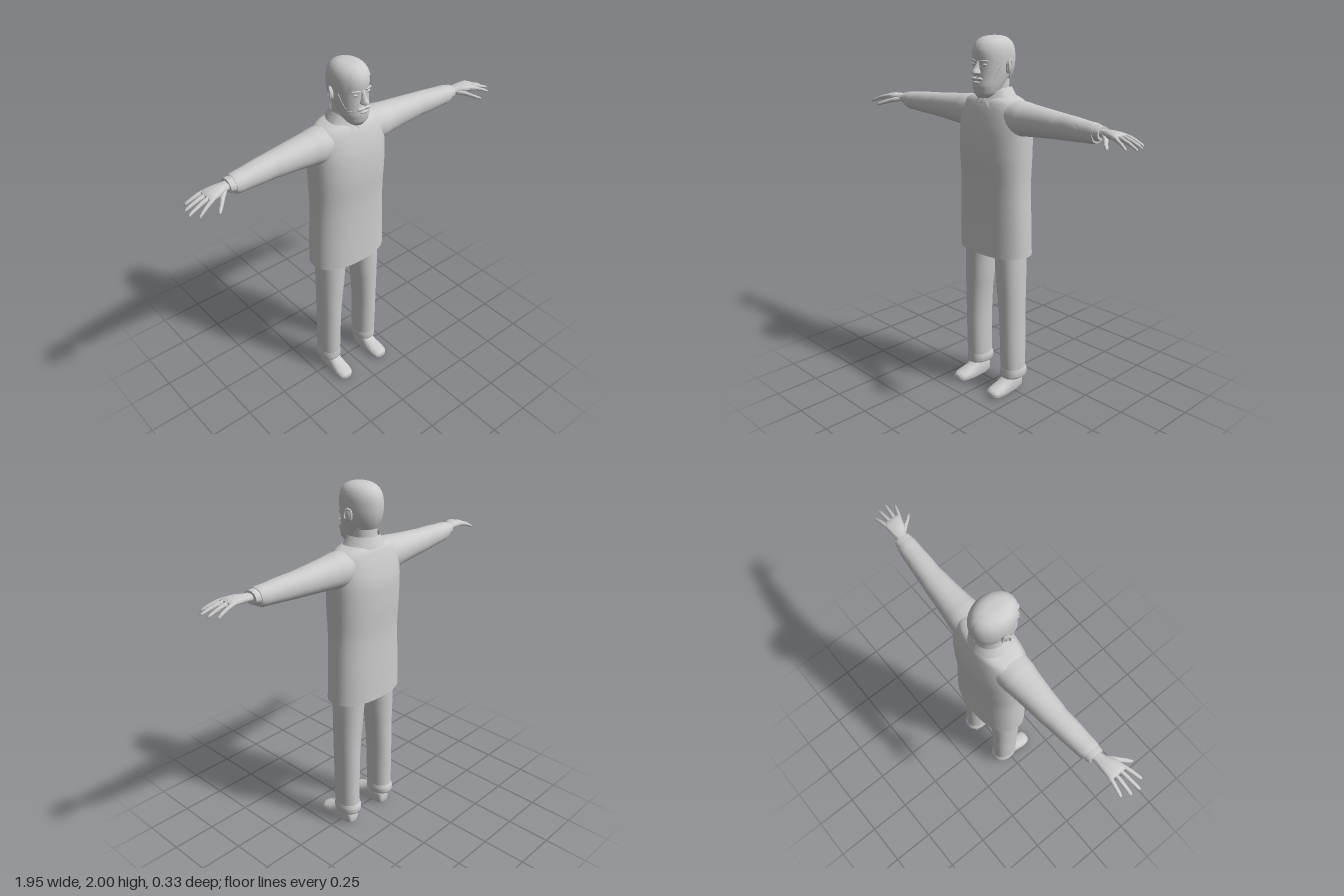
import * as THREE from 'three';
import { mergeVertices, toCreasedNormals } from 'three/addons/utils/BufferGeometryUtils.js';

const { clamp, lerp, smoothstep } = THREE.MathUtils;
const material = new THREE.MeshStandardMaterial({ color: 0xcccccc, side: THREE.DoubleSide });

// Surface from a rule f(u, v) -> [x, y, z]
function grid(f, nu, nv) {
  const pos = [], index = [];
  for (let j = 0; j <= nv; j++) for (let i = 0; i <= nu; i++) pos.push(...f(i / nu, j / nv));
  for (let j = 0; j < nv; j++) for (let i = 0; i < nu; i++) {
    const a = j * (nu + 1) + i, c = a + nu + 1;
    index.push(a, a + 1, c + 1, a, c + 1, c);
  }
  const g = new THREE.BufferGeometry();
  g.setAttribute('position', new THREE.Float32BufferAttribute(pos, 3));
  g.setIndex(index);
  return g;
}

// Smooth blend between cross-section rows, without overshoot
function blend(rows, t) {
  const i = Math.min(Math.floor(t), rows.length - 2), f = t - i;
  const [p0, p1, p2, p3] = [-1, 0, 1, 2].map(k => rows[clamp(i + k, 0, rows.length - 1)]);
  return p1.map((b, k) => {
    const a = p0[k], c = p2[k], d = p3[k];
    const y = b + 0.5 * f * (c - a + f * (2 * a - 5 * b + 4 * c - d + f * (3 * (b - c) + d - a)));
    return clamp(y, Math.min(b, c), Math.max(b, c));
  });
}

// Loft over rows [s, centreA, centreB, radiusA, radiusB]; map places (a, s, b)
const upright = (a, s, b) => [a, s, b];
const sideways = (a, s, b) => [s, b, a];
const forward = (a, s, b) => [b, Math.max(0, a), s];
const power = (c, n) => Math.sign(c) * Math.abs(c) ** (2 / n);
function loft(rows, map, { n = 2, sides = 32, steps = 4, start = true, end = true } = {}) {
  const rings = [], count = (rows.length - 1) * steps;
  for (let k = 0; k <= count; k++) rings.push(blend(rows, k / steps));
  const point = r => [r[0], r[1], r[2], 0, 0];
  if (start) rings.unshift(point(rings[0]));
  if (end) rings.push(point(rings[rings.length - 1]));
  return grid((u, v) => {
    const [s, ca, cb, ra, rb] = rings[Math.round(v * (rings.length - 1))];
    const t = u * Math.PI * 2;
    return map(ca + ra * power(Math.sin(t), n), s, cb + rb * power(Math.cos(t), n));
  }, sides, rings.length - 1);
}

function part(name, geometry, crease = 0.9) {
  let g = geometry.clone();
  g.deleteAttribute('normal');
  g.deleteAttribute('uv');
  g = mergeVertices(g, 1e-5);
  const kept = [], ix = g.index.array;
  for (let i = 0; i < ix.length; i += 3) {
    const [a, b, c] = [ix[i], ix[i + 1], ix[i + 2]];
    if (a !== b && b !== c && a !== c) kept.push(a, b, c);
  }
  g.setIndex(kept);
  const mesh = new THREE.Mesh(toCreasedNormals(g, crease), material);
  mesh.name = name;
  return mesh;
}

function mirrored(geometry) {
  const g = geometry.clone().scale(-1, 1, 1);
  g.index.array.reverse();
  return g;
}

function ball(x, y, z, sx, sy, sz) {
  return new THREE.SphereGeometry(1, 20, 14).scale(sx, sy, sz).translate(x, y, z);
}

// Head rows, also used for the beard
const headRows = [
  [1.688, 0, 0.065, 0.035, 0.032], [1.71, 0, 0.052, 0.06, 0.06], [1.75, 0, 0.035, 0.073, 0.083],
  [1.79, 0, 0.014, 0.081, 0.1], [1.83, 0, 0.002, 0.087, 0.11], [1.87, 0, 0, 0.089, 0.112],
  [1.91, 0, 0, 0.089, 0.115], [1.95, 0, 0, 0.08, 0.105], [1.98, 0, 0, 0.055, 0.07],
];
function headAt(y) {
  let i = 0;
  while (i < headRows.length - 2 && headRows[i + 1][0] < y) i++;
  const f = (y - headRows[i][0]) / (headRows[i + 1][0] - headRows[i][0]);
  return headRows[i].map((a, k) => lerp(a, headRows[i + 1][k], f));
}

// Hair cap with a hairline that drops from brow to nape
function hair(u, v) {
  const a = (u * 2 - 1) * Math.PI, b = Math.abs(a);
  const line = 1.935 - 0.075 * smoothstep(b, 0.65, 1.05) - 0.085 * smoothstep(b, 1.65, 2.2);
  const w = Math.max(0, (v * 25 - 1) / 24);
  const y = line + (2 - line) * Math.sin(w * Math.PI / 2);
  let k = y > 1.88 ? Math.max(0, 1 - ((y - 1.88) / 0.12) ** 2.8) ** (1 / 2.8)
    : 1 - 0.55 * ((1.88 - y) / 0.16) ** 2;
  if (v === 0) k *= 0.86;
  return [0.098 * k * Math.sin(a), y, -0.003 + 0.127 * k * Math.cos(a)];
}

// Beard shell over the jaw, rising to the sideburns
function beard(u, v) {
  const a = (u * 2 - 1) * 1.5, b = Math.abs(a);
  const top = 1.797 - 0.022 * smoothstep(b, 0.2, 0.6) + 0.09 * smoothstep(b, 0.95, 1.4);
  const low = 1.687 + 0.05 * smoothstep(b, 0.9, 1.5);
  const w = Math.min(1, v * 13 / 12);
  const [y, , cz, rx, rz] = headAt(lerp(low, top, w));
  const k = v === 1 ? 0.97 : 1.06;
  return [rx * k * Math.sin(a), y, cz + rz * k * Math.cos(a)];
}

// Folded collar with two points at the front
function collar(u, v) {
  const a = lerp(0.13, Math.PI, u);
  const b = lerp(a, Math.max(a, lerp(0.62, Math.PI, u)), v);
  const top = lerp(1.69, 1.738, smoothstep(a, 0.1, 1.4));
  const low = lerp(1.633, 1.682, smoothstep(b, 0.6, 1.35));
  const rx = lerp(0.083, 0.118, v);
  const front = lerp(0.085, 0.125, v), back = lerp(0.105, 0.128, v);
  const c = Math.cos(b);
  return [rx * Math.sin(b), lerp(top, low, v), c > 0 ? -0.012 + front * c : -0.012 + (back - 0.012) * c];
}

export function createModel() {
  const model = new THREE.Group();
  model.name = 'standingMan';
  const add = (name, g, crease) => model.add(part(name, g, crease));
  const pair = (name, g, crease) => {
    add(name + 'Left', g, crease);
    add(name + 'Right', mirrored(g), crease);
  };

  // Long shirt, open at the hem, and hips beneath it
  add('shirt', loft([
    [0.83, 0, -0.02, 0.235, 0.136], [1.0, 0, -0.02, 0.23, 0.134], [1.2, 0, -0.018, 0.222, 0.133],
    [1.38, 0, -0.018, 0.225, 0.143], [1.5, 0, -0.02, 0.226, 0.141], [1.58, 0, -0.02, 0.222, 0.128],
    [1.64, 0, -0.02, 0.205, 0.112], [1.675, 0, -0.022, 0.17, 0.098], [1.695, 0, -0.025, 0.1, 0.08],
  ], upright, { n: 2.3, sides: 48, start: false }));
  add('hips', loft([[0.85, 0, -0.02, 0.16, 0.085], [0.9, 0, -0.02, 0.2, 0.1], [1.1, 0, -0.02, 0.2, 0.1]], upright));

  // Sleeves with soft folds and cuffs
  pair('sleeve', loft([
    [0.1, -0.02, 1.595, 0.095, 0.088], [0.2, -0.018, 1.588, 0.093, 0.09], [0.25, -0.018, 1.588, 0.086, 0.084],
    [0.35, -0.017, 1.588, 0.075, 0.075], [0.45, -0.015, 1.587, 0.067, 0.067], [0.48, -0.014, 1.587, 0.063, 0.065],
    [0.56, -0.008, 1.587, 0.06, 0.06], [0.64, -0.003, 1.586, 0.055, 0.053], [0.68, 0, 1.586, 0.053, 0.051],
    [0.705, 0.002, 1.588, 0.049, 0.045],
  ], sideways, { n: 2.2 }));
  pair('sleeveCuff', loft([
    [0.69, 0.002, 1.59, 0.046, 0.041], [0.715, 0.003, 1.592, 0.046, 0.038], [0.735, 0.003, 1.593, 0.044, 0.034],
  ], sideways));

  // Hands: palm, four fingers and a thumb
  pair('palm', loft([
    [0.72, 0.005, 1.594, 0.027, 0.021], [0.76, 0.01, 1.597, 0.031, 0.02], [0.8, 0.02, 1.6, 0.043, 0.019],
    [0.84, 0.025, 1.6, 0.048, 0.016], [0.862, 0.027, 1.597, 0.043, 0.01],
  ], sideways, { n: 2.4, sides: 20 }));
  const fingers = [[-0.012, 0.945, -0.025], [0.014, 0.968, 0.018], [0.04, 0.975, 0.064], [0.062, 0.942, 0.104]];
  fingers.forEach(([z0, x1, z1], i) => {
    const rows = [[0, 0.01, 0.012], [0.35, 0.011, 0.011], [0.75, 0.009, 0.009], [0.95, 0.007, 0.006], [1, 0.002, 0.002]];
    pair('finger' + (i + 1), loft(rows.map(([t, rz, ry]) =>
      [lerp(0.83, x1, t), lerp(z0, z1, t), 1.6 - 0.038 * t ** 1.6, rz, ry]), sideways, { sides: 12, steps: 3 }));
  });
  pair('thumb', loft([
    [0.75, 0.018, 1.59, 0.018, 0.014], [0.79, 0.056, 1.582, 0.021, 0.014], [0.825, 0.097, 1.568, 0.016, 0.011],
    [0.85, 0.122, 1.558, 0.011, 0.008], [0.856, 0.128, 1.556, 0.003, 0.003],
  ], sideways, { sides: 14 }));

  // Trousers with turned hems
  pair('trouserLeg', loft([
    [0.1, 0.138, -0.026, 0.061, 0.076], [0.2, 0.138, -0.022, 0.063, 0.077], [0.4, 0.136, -0.02, 0.064, 0.08],
    [0.55, 0.131, -0.018, 0.07, 0.082], [0.65, 0.125, -0.018, 0.076, 0.086], [0.83, 0.116, -0.02, 0.083, 0.092],
    [0.95, 0.1, -0.02, 0.09, 0.095],
  ], upright, { n: 2.2 }));
  pair('trouserHem', loft([
    [0.08, 0.14, -0.028, 0.056, 0.07], [0.088, 0.139, -0.028, 0.064, 0.081],
    [0.115, 0.138, -0.028, 0.067, 0.082], [0.14, 0.138, -0.024, 0.062, 0.077],
  ], upright, { n: 2.2 }));

  // Shoes with flat soles
  pair('shoe', loft([
    [-0.078, 0.03, 0.134, 0.02, 0.022], [-0.068, 0.035, 0.134, 0.05, 0.036], [-0.03, 0.035, 0.134, 0.068, 0.042],
    [0.02, 0.03, 0.134, 0.068, 0.043], [0.06, 0.024, 0.135, 0.05, 0.047], [0.11, 0.02, 0.137, 0.036, 0.05],
    [0.145, 0.018, 0.138, 0.028, 0.043], [0.16, 0.017, 0.138, 0.02, 0.028], [0.165, 0.016, 0.138, 0.01, 0.012],
  ], forward, { n: 2.3, sides: 28 }));
  pair('ankle', loft([[0.06, 0.134, -0.025, 0.036, 0.045], [0.15, 0.136, -0.025, 0.04, 0.05]], upright));

  // Neck, collar and shirt opening
  add('neck', loft([
    [1.66, 0, -0.03, 0.08, 0.075], [1.72, 0, -0.028, 0.07, 0.066], [1.82, 0, -0.025, 0.068, 0.062],
  ], upright));
  pair('collar', grid(collar, 40, 6));
  add('neckKnot', loft([
    [1.63, 0, 0.08, 0.007, 0.01], [1.665, 0, 0.07, 0.014, 0.014], [1.69, 0, 0.056, 0.017, 0.016],
  ], upright, { sides: 12 }));

  // Head, hair and beard
  add('head', loft(headRows, upright, { n: 2.2, sides: 40 }));
  add('hair', grid(hair, 64, 25), 0.8);
  add('beard', grid(beard, 40, 13));

  // Face
  add('nose', loft([
    [1.808, 0, 0.112, 0.012, 0.018], [1.816, 0, 0.115, 0.021, 0.033], [1.826, 0, 0.114, 0.018, 0.036],
    [1.85, 0, 0.108, 0.011, 0.022], [1.88, 0, 0.104, 0.011, 0.012],
  ], upright, { sides: 20 }));
  add('lips', ball(0, 1.768, 0.122, 0.025, 0.007, 0.008));
  pair('moustache', ball(0.017, 1.787, 0.118, 0.024, 0.009, 0.011).rotateZ(0));
  pair('eye', ball(0.038, 1.859, 0.1, 0.016, 0.008, 0.007));
  pair('eyebrow', new THREE.CapsuleGeometry(0.006, 0.034, 4, 10).rotateZ(Math.PI / 2)
    .rotateY(0.35).translate(0.04, 1.878, 0.104));

  // Ears: shell with a raised rim
  pair('ear', ball(0, 0, 0, 0.012, 0.036, 0.022).rotateY(0.4).rotateX(-0.15).translate(0.1, 1.848, -0.012));
  pair('earRim', new THREE.TorusGeometry(0.024, 0.006, 8, 20, 4.4).rotateZ(-0.6).scale(0.8, 1.3, 1)
    .rotateY(Math.PI / 2 + 0.45).translate(0.108, 1.85, -0.014));
  return model;
}
